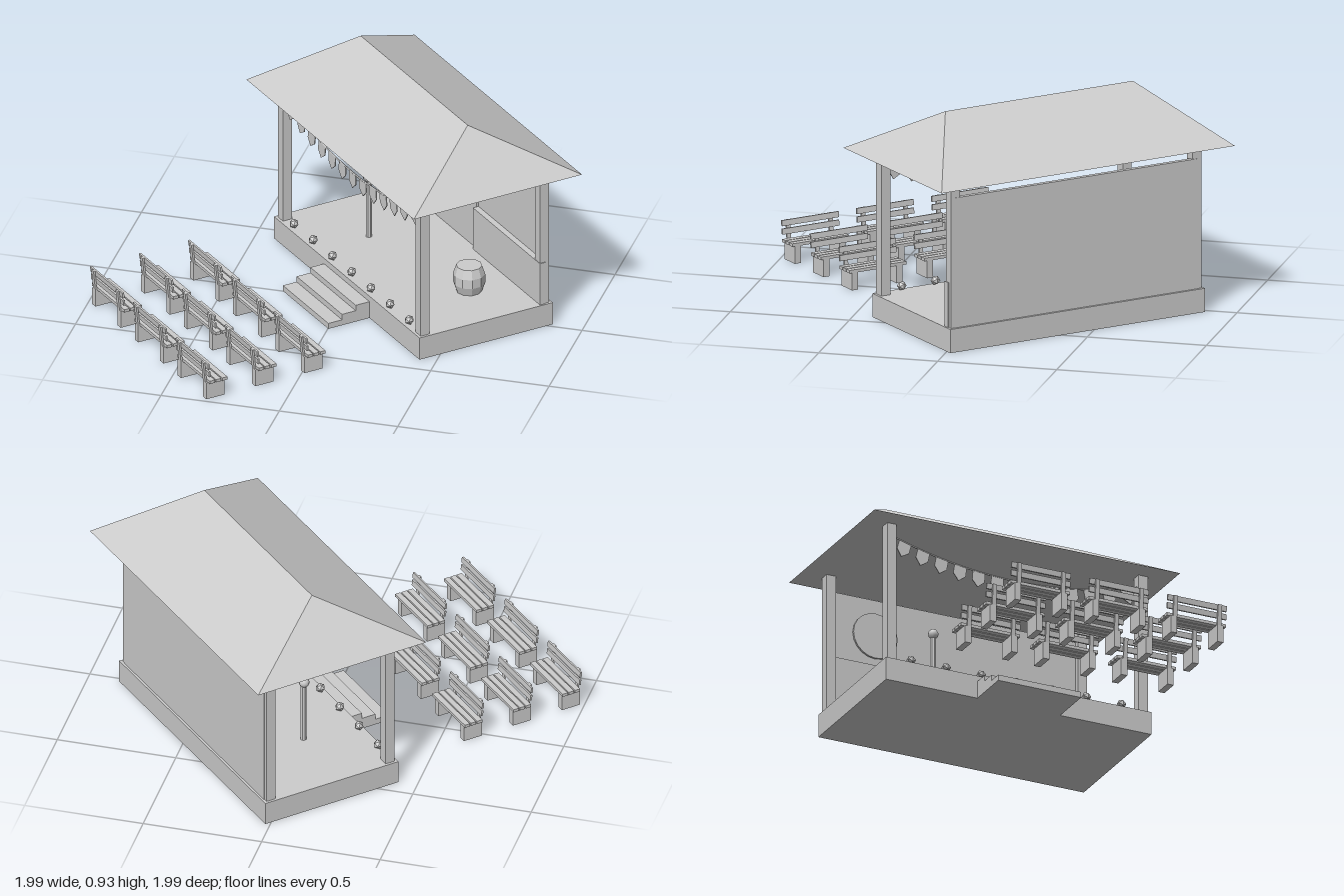
import * as THREE from 'three';

const grey = new THREE.MeshStandardMaterial({ color: 0xcccccc });
grey.name = 'plain grey';

// Splits shared corners so every face is shaded flat
function flat(geometry) {
  const g = geometry.index ? geometry.toNonIndexed() : geometry;
  g.computeVertexNormals();
  return g;
}

function add(parent, name, geometry, x = 0, y = 0, z = 0) {
  const mesh = new THREE.Mesh(geometry, grey);
  mesh.name = name;
  mesh.position.set(x, y, z);
  parent.add(mesh);
  return mesh;
}

// Box given by its limits on each axis
function box(parent, name, x0, x1, y0, y1, z0, z1) {
  return add(parent, name, new THREE.BoxGeometry(x1 - x0, y1 - y0, z1 - z0),
    (x0 + x1) / 2, (y0 + y1) / 2, (z0 + z1) / 2);
}

// Hipped roof with a flat underside
function roofGeometry(halfLength, halfDepth, halfRidge, height) {
  const g = new THREE.BufferGeometry();
  g.setAttribute('position', new THREE.Float32BufferAttribute([
    -halfLength, 0, halfDepth, halfLength, 0, halfDepth,
    halfLength, 0, -halfDepth, -halfLength, 0, -halfDepth,
    -halfRidge, height, 0, halfRidge, height, 0,
  ], 3));
  g.setIndex([0, 1, 5, 0, 5, 4, 2, 3, 4, 2, 4, 5, 1, 2, 5, 3, 0, 4, 0, 3, 2, 0, 2, 1]);
  return flat(g);
}

function makeBench() {
  const bench = new THREE.Group();
  bench.name = 'bench';
  for (const s of [-1, 1]) {
    box(bench, 'benchLeg', s * 0.105 - 0.014, s * 0.105 + 0.014, 0, 0.075, -0.043, 0.042);
  }
  for (let i = 0; i < 3; i++) {
    const z = -0.036 + i * 0.029;
    box(bench, 'seatSlat', -0.134, 0.134, 0.075, 0.088, z - 0.012, z + 0.012);
  }
  // Slightly reclined backrest
  const back = new THREE.Group();
  back.name = 'backrest';
  back.position.set(0, 0.075, 0.034);
  back.rotation.x = 0.1;
  for (const s of [-1, 1]) {
    box(back, 'backPost', s * 0.1 - 0.009, s * 0.1 + 0.009, 0, 0.09, 0, 0.008);
  }
  for (const y of [0.032, 0.067]) box(back, 'backSlat', -0.134, 0.134, y, y + 0.024, -0.008, 0);
  bench.add(back);
  return bench;
}

export function createModel() {
  const model = new THREE.Group();
  model.name = 'openAirStage';
  const site = new THREE.Group();
  site.name = 'stageAndSeating';
  site.rotation.y = -Math.PI / 4;
  model.add(site);

  // Platform, roof and posts
  box(site, 'platform', -0.602, 0.602, 0, 0.1, -0.63, -0.007);
  add(site, 'roof', roofGeometry(0.693, 0.393, 0.443, 0.215), 0, 0.71, -0.322);
  for (const x of [-0.57, 0.57]) {
    for (const z of [-0.04, -0.597]) {
      box(site, 'post', x - 0.021, x + 0.021, 0.1, 0.712, z - 0.021, z + 0.021);
    }
  }

  // Back wall with layered scenery
  box(site, 'backWall', -0.575, 0.575, 0.1, 0.65, -0.62, -0.6);
  box(site, 'tallScenery', -0.575, 0.04, 0.1, 0.355, -0.6, -0.59);
  box(site, 'lowScenery', 0.04, 0.595, 0.1, 0.29, -0.6, -0.574);
  const disc = add(site, 'sceneryDisc', flat(new THREE.CylinderGeometry(0.1, 0.1, 0.009, 20)),
    -0.364, 0.485, -0.59);
  disc.rotation.x = Math.PI / 2;

  // Front steps
  for (let i = 0; i < 3; i++) {
    box(site, 'step', -0.188, 0.188, 0, 0.075 - i * 0.025, -0.007 + i * 0.064, 0.057 + i * 0.064);
  }

  // Footlights along the front edge
  for (let i = -3; i <= 3; i++) {
    add(site, 'footlight', new THREE.IcosahedronGeometry(0.02, 0), i * 0.159, 0.12, -0.03);
  }

  // Barrel
  const profile = [[0, 0], [0.053, 0], [0.066, 0.038], [0.066, 0.078], [0.053, 0.116], [0, 0.116]]
    .map(([r, y]) => new THREE.Vector2(r, y));
  add(site, 'barrel', flat(new THREE.LatheGeometry(profile, 10)), 0.34, 0.1, -0.387);

  // Microphone on its stand
  add(site, 'microphoneStand', flat(new THREE.CylinderGeometry(0.013, 0.013, 0.26, 8)), -0.265, 0.23, -0.26);
  add(site, 'microphoneHead', new THREE.IcosahedronGeometry(0.022, 1), -0.265, 0.375, -0.257);

  // Sagging string of pennants
  const sag = (x) => 0.575 + 0.085 * (x / 0.55) ** 2;
  const points = [];
  for (let i = -6; i <= 6; i++) points.push(new THREE.Vector3(i * 0.0917, sag(i * 0.0917), -0.035));
  add(site, 'buntingString',
    new THREE.TubeGeometry(new THREE.CatmullRomCurve3(points), 36, 0.004, 5));
  const pennant = new THREE.Shape([[-0.028, 0], [-0.028, -0.042], [0, -0.07], [0.028, -0.042], [0.028, 0]]
    .map(([x, y]) => new THREE.Vector2(x, y)));
  const pennantGeometry = new THREE.ExtrudeGeometry(pennant, { depth: 0.004, bevelEnabled: false });
  for (let i = -6; i <= 6; i++) {
    const x = i * 0.0835;
    const flag = add(site, 'pennant', pennantGeometry, x, sag(x), -0.037);
    flag.rotation.z = Math.atan(0.17 * x / 0.3025);
  }

  // Three rows of three benches facing the stage
  for (let row = 0; row < 3; row++) {
    for (let col = -1; col <= 1; col++) {
      const bench = makeBench();
      bench.position.set(col * 0.354, 0, 0.416 + row * 0.229);
      site.add(bench);
    }
  }
  return model;
}
